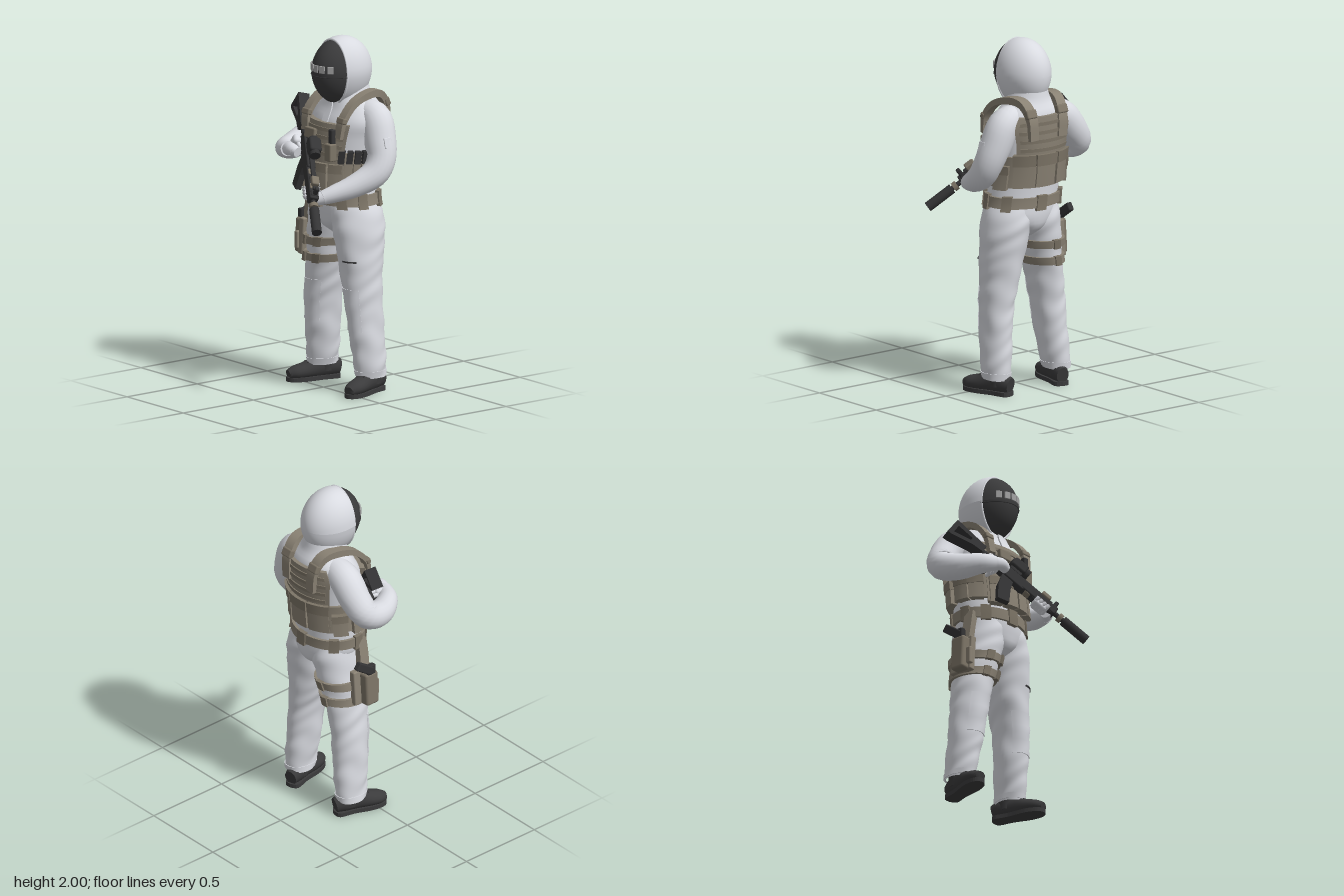
import * as THREE from 'three';
import { toCreasedNormals } from 'three/addons/utils/BufferGeometryUtils.js';
import { RoundedBoxGeometry } from 'three/addons/geometries/RoundedBoxGeometry.js';

const mat = (name, color) => Object.assign(new THREE.MeshStandardMaterial({ color }), { name });
const white = mat('white cloth', 0xd9dbe1);
const khaki = mat('khaki webbing', 0x8a8274);
const darkKhaki = mat('dark khaki', 0x7d7567);
const black = mat('black rubber', 0x3b3b3c);
const metal = mat('gun metal', 0x343435);
const grey = mat('grey plates', 0xa2a2a2);
const V = (x, y, z) => new THREE.Vector3(x, y, z);
const D = Math.PI / 180;

export function createModel() {
  const model = new THREE.Group();
  model.name = 'soldier';

  const add = (parent, name, geo, material, pos = [0, 0, 0], rot = [0, 0, 0]) => {
    const mesh = new THREE.Mesh(geo, material);
    mesh.name = name;
    mesh.position.set(...pos);
    mesh.rotation.set(...rot);
    parent.add(mesh);
    return mesh;
  };
  const box = (w, h, d, r = 0.008) => new RoundedBoxGeometry(w, h, d, 2, r);

  // Surface over a grid of points; outside is du x dv
  const grid = (fn, nu, nv, crease) => {
    const pos = [], idx = [];
    for (let i = 0; i <= nu; i++) for (let j = 0; j <= nv; j++) pos.push(...fn(i, j));
    for (let i = 0; i < nu; i++) for (let j = 0; j < nv; j++) {
      const a = i * (nv + 1) + j, b = a + nv + 1;
      idx.push(a, b, a + 1, b, b + 1, a + 1);
    }
    const geo = new THREE.BufferGeometry();
    geo.setAttribute('position', new THREE.Float32BufferAttribute(pos, 3));
    geo.setIndex(idx);
    return toCreasedNormals(geo, crease);
  };

  // Upright body from rings [y, centre x, centre z, radius x, radius z], lowest first
  const body = (rings, ripple = 0) => {
    const spline = new THREE.CubicInterpolant(rings.map(r => r[0]), rings.flatMap(r => r.slice(1)), 4);
    return (y, a, off = 0) => {
      const [cx, cz, rx, rz] = spline.evaluate(y);
      const o = off + ripple * Math.sin(y * 38 + 2 * Math.sin(a * 2 + y * 9)) * Math.sin(a + y * 13);
      return [cx + (rx + o) * Math.cos(a), y, cz + (rz + o) * Math.sin(a)];
    };
  };
  const bodySkin = (f, y0, y1, n) => grid((i, j) => f(y0 + (y1 - y0) * i / n, j / 40 * Math.PI * 2), n, 40, 1.2);

  // Raised panel that hugs a body; angles in degrees, 90 is the front, 0 the left
  const patch = (f, y0, y1, a0, a1, off) => {
    const nu = Math.max(1, Math.ceil((y1 - y0) / 0.04)), nv = Math.max(2, Math.ceil((a1 - a0) / 9));
    const full = a1 - a0 >= 360;
    return grid((i, j) => {
      const u = THREE.MathUtils.clamp((i - 1) / nu, 0, 1), v = THREE.MathUtils.clamp((j - 1) / nv, 0, 1);
      const rim = i === 0 || i === nu + 2 || (!full && (j === 0 || j === nv + 2));
      return f(y0 + (y1 - y0) * u, (a0 + (a1 - a0) * v) * D, rim ? -0.01 : off);
    }, nu + 2, nv + 2, 0.6);
  };

  // Closed tube along points [x, y, z, radius, second radius]; four sides make a flat strap
  const sweep = (pts, ref = V(1, 0, 0), sides = 20, steps = 28) => {
    const path = new THREE.CatmullRomCurve3(pts.map(p => V(p[0], p[1], p[2])), false, 'catmullrom');
    const size = new THREE.CatmullRomCurve3(pts.map(p => V(p[3], p[4] ?? p[3], 0)), false, 'catmullrom');
    const turn = sides === 4 ? Math.PI / 4 : 0, grow = sides === 4 ? Math.SQRT2 : 1;
    return grid((i, j) => {
      const t = THREE.MathUtils.clamp((j - 1) / steps, 0, 1), p = path.getPoint(t), s = size.getPoint(t);
      const T = path.getTangent(t), U = ref.clone().addScaledVector(T, -ref.dot(T)).normalize();
      const W = T.clone().cross(U), a = i / sides * Math.PI * 2 + turn;
      const k = j === 0 || j === steps + 2 ? 0 : grow;
      return p.addScaledVector(U, k * s.x * Math.cos(a)).addScaledVector(W, k * s.y * Math.sin(a)).toArray();
    }, sides, steps + 2, sides === 4 ? 0.5 : 1.1);
  };

  // Jacket and trousers
  const torso = body([[0.89, 0.052, -0.115, 0.03, 0.08], [0.94, 0.052, -0.115, 0.12, 0.145], [1.0, 0.055, -0.115, 0.205, 0.165],
    [1.1, 0.042, -0.11, 0.212, 0.172], [1.3, 0.033, -0.125, 0.205, 0.175], [1.45, 0.033, -0.14, 0.222, 0.172],
    [1.54, 0.036, -0.15, 0.235, 0.163], [1.61, 0.036, -0.165, 0.195, 0.145], [1.67, 0.035, -0.155, 0.125, 0.125], [1.74, 0.033, -0.14, 0.105, 0.125]]);
  add(model, 'jacket', bodySkin(torso, 0.89, 1.74, 40), white);
  add(model, 'jacketZip', patch(torso, 1.53, 1.66, 84, 96, 0.008), white);
  const rightThigh = body([[0.09, -0.178, -0.135, 0.07, 0.09], [0.15, -0.172, -0.132, 0.076, 0.098], [0.3, -0.155, -0.12, 0.086, 0.106],
    [0.5, -0.135, -0.11, 0.094, 0.113], [0.75, -0.09, -0.11, 0.11, 0.133], [0.87, -0.065, -0.113, 0.12, 0.15],
    [1.0, -0.04, -0.113, 0.128, 0.16], [1.1, -0.035, -0.11, 0.122, 0.145]], 0.004);
  const leftThigh = body([[0.09, 0.252, -0.135, 0.07, 0.09], [0.15, 0.25, -0.132, 0.075, 0.098], [0.3, 0.24, -0.12, 0.083, 0.106],
    [0.5, 0.226, -0.11, 0.088, 0.113], [0.75, 0.192, -0.11, 0.117, 0.133], [0.87, 0.18, -0.113, 0.125, 0.15],
    [1.0, 0.155, -0.113, 0.132, 0.16], [1.1, 0.125, -0.11, 0.122, 0.145]], 0.004);
  for (const [side, leg] of [['right', rightThigh], ['left', leftThigh]]) {
    add(model, side + 'TrouserLeg', bodySkin(leg, 0.09, 1.1, 50), white);
    add(model, side + 'KneePatch', patch(leg, 0.36, 0.6, 45, 140, 0.004), white);
    add(model, side + 'TrouserCuff', patch(leg, 0.1, 0.13, 0, 360, 0.004), white);
  }
  add(model, 'thighPocketSlit', patch(leftThigh, 0.755, 0.763, 45, 85, 0.005), black);

  // Sleeves
  add(model, 'rightSleeve', sweep([[-0.08, 1.58, -0.18, 0.075], [-0.18, 1.54, -0.18, 0.09], [-0.265, 1.44, -0.175, 0.087], [-0.32, 1.36, -0.14, 0.08],
    [-0.305, 1.325, -0.03, 0.074], [-0.245, 1.335, 0.075, 0.058], [-0.165, 1.35, 0.12, 0.042]], V(0, 1, 0)), white);
  add(model, 'leftSleeve', sweep([[0.15, 1.58, -0.18, 0.075], [0.235, 1.55, -0.185, 0.09], [0.285, 1.44, -0.175, 0.09], [0.32, 1.34, -0.155, 0.082],
    [0.32, 1.26, -0.1, 0.077], [0.28, 1.2, 0.01, 0.064], [0.235, 1.165, 0.11, 0.05], [0.205, 1.145, 0.17, 0.04]]), white);
  add(model, 'sleevePatch', box(0.008, 0.06, 0.05, 0.003), white, [0.374, 1.44, -0.16], [0, 0, 0.25]);

  // Hood with a dark face mask in its opening
  const headShape = (radius, from, to) => {
    const geo = new THREE.SphereGeometry(radius, 40, 24, 0, Math.PI * 2, from * D, (to - from) * D).rotateX(Math.PI / 2);
    const p = geo.attributes.position;
    for (let i = 0; i < p.count; i++) {
      const y = p.getY(i), taper = 1 - 0.14 * Math.max(0, -y);
      p.setXYZ(i, p.getX(i) * 0.147 * taper, y * 0.197, p.getZ(i) * 0.186);
    }
    geo.computeVertexNormals();
    return geo;
  };
  const head = new THREE.Group();
  head.name = 'head';
  head.position.set(0.033, 1.805, -0.1);
  model.add(head);
  add(head, 'hood', headShape(1, 70, 180), white);
  add(head, 'faceMask', headShape(0.97, 0, 76), black);
  add(head, 'hoodRim', new THREE.TorusGeometry(1, 0.045, 8, 48), white, [0, 0, 0.06]).scale.set(0.132, 0.182, 0.14);
  const seam = new THREE.TorusGeometry(1, 0.02, 6, 40, Math.PI * 0.8).rotateZ(Math.PI * 0.1).rotateX(Math.PI / 2);
  add(head, 'maskSeam', seam, metal, [0, -0.012, 0]).scale.set(0.1425, 0.15, 0.18);
  for (let i = 0; i < 5; i++) { // plain plates across the brow
    const x = -0.084 + i * 0.042, k = Math.sqrt(1 - (x / 0.1425) ** 2);
    add(head, 'browPlate', box(0.034, 0.042, 0.009, 0.003), grey, [x, 0.032, 0.179 * k], [0, Math.atan(x * 8.8 / k), 0]);
  }

  // Plate carrier
  const gear = new THREE.Group();
  gear.name = 'plateCarrier';
  model.add(gear);
  const panel = (name, y0, y1, a0, a1, off, m = khaki) => add(gear, name, patch(torso, y0, y1, a0, a1, off), m);
  panel('cummerbund', 1.19, 1.37, 0, 360, 0.018);
  panel('frontPanel', 1.16, 1.53, 46, 134, 0.03);
  panel('backPanel', 1.2, 1.6, -138, -42, 0.022);
  for (let i = 0; i < 4; i++) {
    panel('frontWebbing', 1.35 + i * 0.045, 1.37 + i * 0.045, 50, 130, 0.036, darkKhaki);
    panel('backWebbing', 1.4 + i * 0.05, 1.42 + i * 0.05, -132, -48, 0.028, darkKhaki);
  }
  for (const a of [-136, -102, -68]) {
    panel('backPouch', 1.2, 1.37, a, a + 30, 0.036);
    panel('backPouchFlap', 1.32, 1.385, a - 1, a + 31, 0.042, darkKhaki);
  }
  for (const a of [46, 68, 90, 112]) {
    panel('magazinePouch', 1.15, 1.3, a, a + 19, 0.05);
    panel('pouchFlap', 1.26, 1.31, a, a + 19, 0.055, darkKhaki);
  }
  for (const a of [140, 164, 196, -30]) {
    panel('sidePouch', 1.18, 1.31, a, a + 22, 0.042);
    panel('sidePouchFlap', 1.27, 1.32, a - 1, a + 23, 0.047, darkKhaki);
  }
  for (const a of [8, 20, 32, 44]) {
    panel('sideMagazine', 1.3, 1.385, a, a + 9, 0.042, metal);
    panel('sideMagazinePouch', 1.2, 1.315, a, a + 10, 0.046);
  }
  add(gear, 'radio', box(0.035, 0.12, 0.03), metal, [0.15, 1.45, 0.06]);
  add(gear, 'radioPouch', box(0.055, 0.1, 0.05), darkKhaki, [0.15, 1.38, 0.07]);
  add(gear, 'chestPouch', box(0.09, 0.06, 0.03), darkKhaki, [-0.03, 1.46, 0.065], [-0.1, 0, 0]);

  // Shoulder straps with buckles
  for (const s of [-1, 1]) {
    const x = w => 0.038 + s * w;
    add(gear, 'shoulderStrap', sweep([[x(0.145), 1.46, 0.04, 0.027, 0.012], [x(0.155), 1.56, 0.018, 0.027, 0.014], [x(0.152), 1.645, -0.06, 0.027, 0.016],
      [x(0.138), 1.68, -0.17, 0.028, 0.02], [x(0.12), 1.67, -0.265, 0.03, 0.02], [x(0.106), 1.59, -0.32, 0.03, 0.016], [x(0.1), 1.47, -0.33, 0.028, 0.012]], V(1, 0, 0), 4), khaki);
    add(gear, 'strapBuckle', box(0.064, 0.035, 0.03), darkKhaki, [x(0.155), 1.56, 0.025], [-0.3, 0, 0]);
    add(gear, 'backBuckle', box(0.07, 0.05, 0.035), darkKhaki, [x(0.11), 1.62, -0.315], [0.4, 0, 0]);
  }

  // Belt with small pouches
  add(model, 'belt', patch(torso, 1.07, 1.13, 0, 360, 0.016), khaki);
  for (const a of [-150, -95, -40, 5, 40, 85, 130, 165]) add(model, 'beltLoop', patch(torso, 1.055, 1.14, a, a + 16, 0.024), darkKhaki);

  // Thigh rig with a holstered pistol
  const rig = new THREE.Group();
  rig.name = 'thighRig';
  model.add(rig);
  for (const y of [0.71, 0.81]) {
    add(rig, 'thighStrap', patch(rightThigh, y, y + 0.045, 0, 360, 0.016), khaki);
    for (const a of [55, 100, -100]) add(rig, 'strapBuckle', patch(rightThigh, y - 0.005, y + 0.05, a, a + 18, 0.026), darkKhaki);
  }
  add(rig, 'dropStrap', sweep([[-0.165, 1.1, -0.06, 0.022, 0.03], [-0.185, 1.0, -0.06, 0.02, 0.03], [-0.205, 0.86, -0.07, 0.022, 0.035]], V(1, 0, 0), 4), khaki);
  add(rig, 'holsterPlate', box(0.04, 0.21, 0.15), khaki, [-0.212, 0.825, -0.08], [0, 0, -0.08]);
  add(rig, 'holster', box(0.068, 0.2, 0.09, 0.015), darkKhaki, [-0.25, 0.82, -0.065], [0, 0, -0.06]);
  add(rig, 'magazineOnHolster', box(0.03, 0.1, 0.035), khaki, [-0.24, 0.8, -0.01]);
  add(rig, 'pistolSlide', box(0.035, 0.07, 0.06), metal, [-0.258, 0.935, -0.065]);
  add(rig, 'pistolGrip', box(0.035, 0.05, 0.13), metal, [-0.262, 0.965, -0.11], [0.6, 0, 0]);

  // Boots, toes turned out
  const sole = new THREE.Shape();
  sole.setFromPoints(new THREE.SplineCurve([[0, -0.11], [0.042, -0.09], [0.042, 0], [0.054, 0.11], [0.04, 0.185], [0, 0.212],
    [-0.04, 0.185], [-0.054, 0.11], [-0.042, 0], [-0.042, -0.09], [0, -0.11]].map(p => new THREE.Vector2(...p))).getPoints(40));
  for (const [side, x, s] of [['right', -0.178, -1], ['left', 0.252, 1]]) {
    const boot = new THREE.Group();
    boot.name = side + 'Boot';
    boot.position.set(x, 0, -0.13);
    boot.rotation.y = s * 0.27;
    model.add(boot);
    add(boot, 'sole', new THREE.ExtrudeGeometry(sole, { depth: 0.024, bevelEnabled: false }).rotateX(Math.PI / 2), black, [0, 0.024, 0]);
    add(boot, 'upper', sweep([[0, 0.06, -0.105, 0.036, 0.045], [0, 0.07, -0.05, 0.047, 0.058], [0, 0.068, 0.03, 0.048, 0.06], [0, 0.055, 0.1, 0.055, 0.047],
      [0, 0.047, 0.16, 0.051, 0.039], [0, 0.04, 0.202, 0.03, 0.026]]), black);
    add(boot, 'shaft', new THREE.CylinderGeometry(0.058, 0.05, 0.1, 20), black, [0, 0.1, -0.02]);
    for (let i = 0; i < 3; i++) add(boot, 'lace', box(0.05, 0.008, 0.012, 0.003), metal, [0, 0.124 - i * 0.011, 0.04 + i * 0.025], [0.35, 0, 0]);
  }

  // Rifle: local x runs from butt to muzzle, local y is its top
  const rifle = new THREE.Group();
  rifle.name = 'rifle';
  const along = V(0.665, -0.59, 0.42).normalize(), up = V(0.6, 0.75, 0.05);
  up.addScaledVector(along, -up.dot(along)).normalize();
  rifle.quaternion.setFromRotationMatrix(new THREE.Matrix4().makeBasis(along, up, along.clone().cross(up)));
  rifle.position.set(-0.305, 1.585, -0.085);
  model.add(rifle);
  const outline = pts => pts.map(p => new THREE.Vector2(...p));
  const plate = (pts, depth, hole) => {
    const shape = new THREE.Shape(outline(pts));
    if (hole) shape.holes.push(new THREE.Path(outline(hole)));
    return new THREE.ExtrudeGeometry(shape, { depth, bevelEnabled: false }).translate(0, 0, -depth / 2);
  };
  const tube = (name, x0, x1, r, m = metal, y = 0) =>
    add(rifle, name, new THREE.CylinderGeometry(r, r, x1 - x0, 18).rotateZ(-Math.PI / 2), m, [(x0 + x1) / 2, y, 0]);
  add(rifle, 'stock', plate([[0, 0.045], [0.22, 0.028], [0.22, -0.022], [0.15, -0.03], [0.025, -0.075], [0, -0.075]], 0.066,
    [[0.028, 0.012], [0.028, -0.047], [0.13, -0.012], [0.13, 0.008]]), metal);
  tube('bufferTube', 0.15, 0.32, 0.022);
  add(rifle, 'receiver', box(0.26, 0.075, 0.05), metal, [0.4, 0, 0]);
  add(rifle, 'pistolGrip', box(0.04, 0.1, 0.034), metal, [0.3, -0.07, 0], [0, 0, -0.35]);
  add(rifle, 'magazine', plate([[0.38, -0.02], [0.455, -0.02], [0.48, -0.1], [0.52, -0.18], [0.455, -0.21], [0.405, -0.12]], 0.034), metal);
  add(rifle, 'handguard', box(0.24, 0.058, 0.054), metal, [0.63, 0, 0]);
  for (let i = 0; i < 4; i++) add(rifle, 'railCover', box(0.04, 0.068, 0.044), i % 2 ? metal : darkKhaki, [0.56 + i * 0.052, 0, 0]);
  add(rifle, 'topRail', box(0.4, 0.014, 0.024, 0.003), metal, [0.5, 0.042, 0]);
  add(rifle, 'opticMount', box(0.08, 0.03, 0.035), metal, [0.43, 0.055, 0]);
  add(rifle, 'optic', box(0.095, 0.065, 0.07, 0.012), metal, [0.43, 0.095, 0]);
  tube('opticTube', 0.375, 0.5, 0.03, metal, 0.095);
  add(rifle, 'frontSight', box(0.025, 0.05, 0.025), metal, [0.72, 0.055, 0]);
  add(rifle, 'laserModule', box(0.06, 0.03, 0.045), darkKhaki, [0.65, 0.055, 0]);
  tube('barrel', 0.73, 0.85, 0.014);
  tube('muzzleCollar', 0.775, 0.8, 0.026, darkKhaki);
  tube('suppressor', 0.81, 0.98, 0.028);

  // Gloved hands gripping the rifle
  add(rifle, 'leftPalm', box(0.09, 0.035, 0.07, 0.015), white, [0.66, -0.04, 0]);
  add(rifle, 'rightPalm', box(0.06, 0.09, 0.05, 0.018), white, [0.285, -0.055, 0.04]);
  for (let i = 0; i < 4; i++) {
    add(rifle, 'leftFinger', new THREE.TorusGeometry(0.04, 0.012, 8, 14, Math.PI * 1.1).rotateZ(-Math.PI * 0.9).rotateY(Math.PI / 2), white, [0.625 + i * 0.024, -0.008, 0]);
    add(rifle, 'rightFinger', new THREE.TorusGeometry(0.034, 0.012, 8, 14, Math.PI * 1.2).rotateX(Math.PI / 2).rotateY(0.6), white, [0.315 - i * 0.007, -0.03 - i * 0.022, 0]);
  }
  add(model, 'rightWrist', sweep([[-0.19, 1.345, 0.105, 0.04], [-0.13, 1.355, 0.125, 0.036], [-0.08, 1.345, 0.12, 0.028]], V(0, 1, 0)), white);
  add(model, 'leftWrist', sweep([[0.215, 1.15, 0.15, 0.038], [0.18, 1.135, 0.19, 0.036], [0.15, 1.13, 0.21, 0.028]]), white);
  return model;
}
